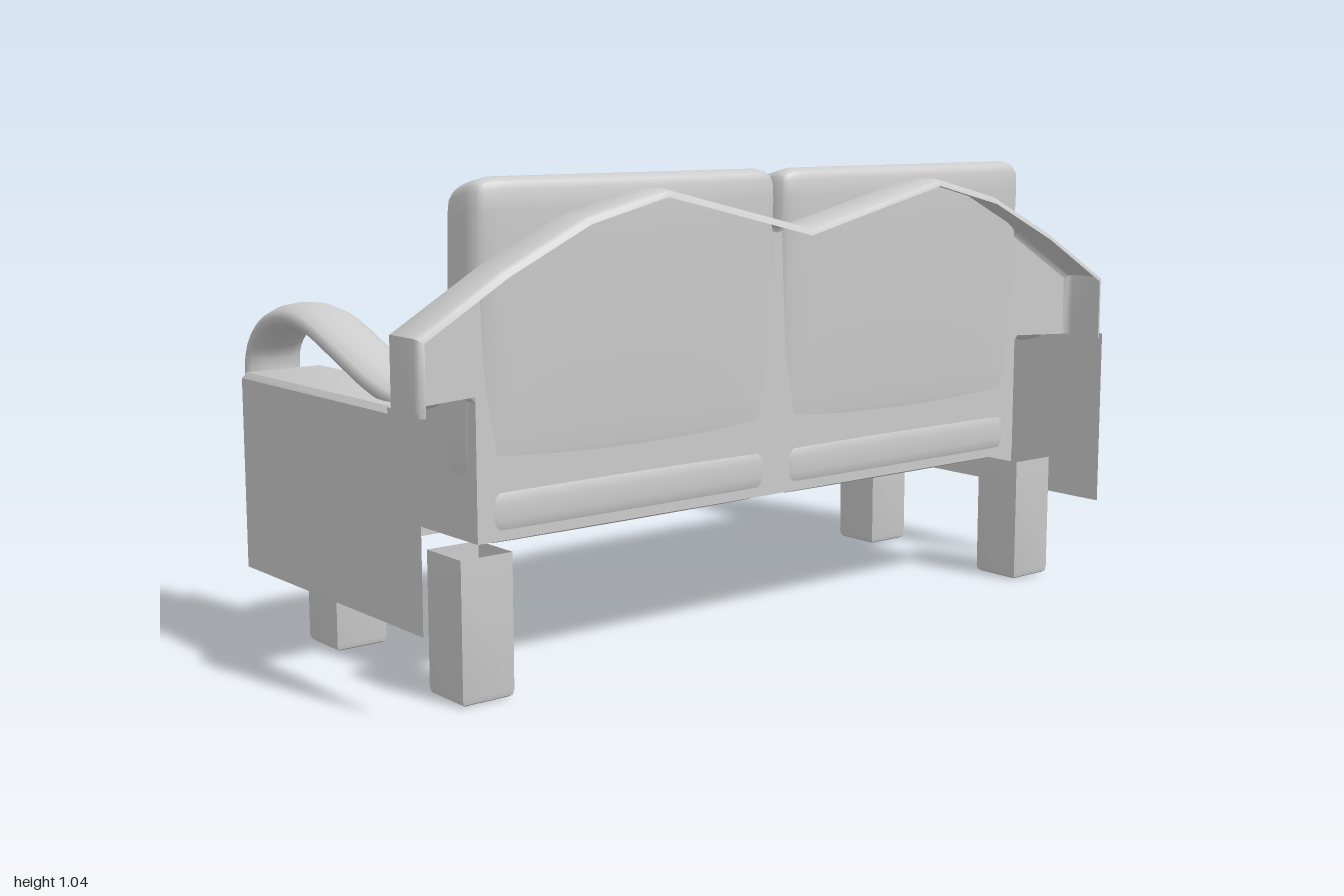
import * as THREE from 'three';
import { mergeVertices, toCreasedNormals } from 'three/addons/utils/BufferGeometryUtils.js';

const material = new THREE.MeshStandardMaterial({ color: 0xcccccc, side: THREE.DoubleSide });

function add(parent, name, geometry) {
  const mesh = new THREE.Mesh(geometry, material);
  mesh.name = name;
  parent.add(mesh);
  return mesh;
}

// Complete a right-to-left half path with its mirror image
const mirrorPath = (half) => [
  ...half,
  ...half.slice().reverse().filter(([x]) => x !== 0).map(([x, y]) => [-x, y]),
];

// Move an open path sideways, to the left of its direction
function inset(path, amount) {
  return path.map(([x, y], i) => {
    const normal = (a, b) => new THREE.Vector2(a[1] - b[1], b[0] - a[0]).normalize();
    const before = i > 0 ? normal(path[i - 1], path[i]) : normal(path[0], path[1]);
    const after = i < path.length - 1 ? normal(path[i], path[i + 1]) : before;
    const k = amount / (1 + before.dot(after));
    return [x + (before.x + after.x) * k, y + (before.y + after.y) * k];
  });
}

// Open skin swept along z; each step is [z, inset]
function sweep(path, steps) {
  const positions = [], index = [], n = path.length;
  for (const [z, amount] of steps) {
    for (const [x, y] of inset(path, amount)) positions.push(x, y, z);
  }
  for (let s = 0; s < steps.length - 1; s++) {
    for (let i = 0; i < n - 1; i++) {
      const a = s * n + i, b = a + n;
      index.push(a, b, a + 1, a + 1, b, b + 1);
    }
  }
  const g = new THREE.BufferGeometry();
  g.setAttribute('position', new THREE.Float32BufferAttribute(positions, 3));
  g.setIndex(index);
  return toCreasedNormals(g, 0.7);
}

const flatFace = (points, z) =>
  new THREE.ShapeGeometry(new THREE.Shape(points.map(([x, y]) => new THREE.Vector2(x, y)))).translate(0, 0, z);

// Soft rounded block; shape(p) may then bend each point
function cushion(w, h, d, r, shape) {
  const g = new THREE.BoxGeometry(2, 2, 2, 18, 14, 14);
  g.deleteAttribute('uv');
  g.deleteAttribute('normal');
  const half = new THREE.Vector3(w / 2, h / 2, d / 2);
  const core = half.clone().subScalar(r);
  const pos = g.attributes.position, p = new THREE.Vector3(), c = new THREE.Vector3();
  for (let i = 0; i < pos.count; i++) {
    p.fromBufferAttribute(pos, i);
    // crowd the points towards the edges
    for (const k of ['x', 'y', 'z']) p[k] = Math.sin(p[k] * Math.PI / 2) * half[k];
    c.copy(p).clamp(core.clone().negate(), core);
    p.sub(c).setLength(r).add(c);
    shape(p);
    pos.setXYZ(i, p.x, p.y, p.z);
  }
  const merged = mergeVertices(g);
  merged.computeVertexNormals();
  return merged;
}

// Flattened, bowed armrest with closed tapering ends
function armrest() {
  const path = [[0.285, 0.612], [0.22, 0.615], [0.127, 0.638], [0, 0.686], [-0.12, 0.728], [-0.22, 0.737],
    [-0.31, 0.71], [-0.37, 0.65], [-0.373, 0.565], [-0.335, 0.49], [-0.3, 0.455]];
  const curve = new THREE.CatmullRomCurve3(path.map(([z, y]) => new THREE.Vector3(0, y, z)));
  const rings = 40, sides = 12;
  const g = new THREE.TubeGeometry(curve, rings, 0.029, sides);
  const pos = g.attributes.position, p = new THREE.Vector3();
  for (let i = 0; i < pos.count; i++) {
    const u = Math.floor(i / (sides + 1)) / rings;
    const t = Math.min(1, u / 0.08, (1 - u) / 0.06);
    const center = curve.getPointAt(u);
    p.fromBufferAttribute(pos, i).sub(center).multiplyScalar(Math.sqrt(t * (2 - t)));
    p.x *= 2.3;
    p.add(center);
    pos.setXYZ(i, p.x, p.y, p.z);
  }
  g.computeVertexNormals();
  return g;
}

export function createModel() {
  const sofa = new THREE.Group();
  sofa.name = 'sofa';

  // Arms, seat deck and front rail: one skin, open behind and below
  const frame = new THREE.Group();
  frame.name = 'frame';
  sofa.add(frame);
  const body = mirrorPath([[1, 0.18], [1, 0.598], [0.988, 0.61], [0.812, 0.61], [0.8, 0.598], [0.8, 0.31]]);
  add(frame, 'armsAndDeck', sweep(body, [[0.29, 0], [-0.325, 0], [-0.336, 0.005], [-0.341, 0.018]]));
  add(frame, 'frontPanel', flatFace(inset(body, 0.018), -0.341));

  // Double-humped backrest, open behind
  const crest = mirrorPath([[1, 0.6], [1, 0.752], [0.8, 0.87], [0.6, 0.965], [0.4, 1.014], [0, 0.918]]);
  add(frame, 'backRim', sweep(crest, [[0.405, 0.016], [0.4, 0.005], [0.39, 0], [0.305, 0], [0.295, 0.005], [0.29, 0.016]]));
  const seatEdge = [[-0.8, 0.61], [-0.8, 0.31], [0.8, 0.31], [0.8, 0.61]];
  add(frame, 'backPanel', flatFace([...inset(crest, 0.016), ...seatEdge], 0.29));

  const seat = cushion(0.8, 0.15, 0.62, 0.06, (p) => {
    const crown = Math.cos(p.x / 0.4 * 1.5) * Math.cos(p.z / 0.31 * 1.5);
    p.y += Math.sign(p.y) * (p.y > 0 ? 0.025 : 0.006) * crown;
  });
  const back = cushion(0.805, 0.62, 0.135, 0.05, (p) => {
    // top slopes down to the front, faces puff slightly
    if (p.y > 0) p.y += p.z * 0.3 * (p.y / 0.31) ** 2;
    p.z += Math.sign(p.z) * 0.006 * Math.cos(p.x / 0.41 * 1.5) * Math.cos(p.y / 0.34 * 1.5);
  });
  const rest = armrest();

  // Square leg with softened foot, open at the top
  const leg = toCreasedNormals(new THREE.LatheGeometry(
    [[0, 0], [0.86, 0], [0.96, 0.004], [1, 0.015], [1, 0.3]].map(([x, y]) => new THREE.Vector2(x, y)), 4,
  ).rotateY(Math.PI / 4).scale(0.061 * Math.SQRT2, 1, 0.0625 * Math.SQRT2), 0.7);

  for (const [side, s] of [['left', 1], ['right', -1]]) {
    const backSide = add(frame, side + 'BackSide', new THREE.PlaneGeometry(0.115, 0.43));
    backSide.rotation.y = s * Math.PI / 2;
    backSide.position.set(s, 0.395, 0.3475);

    add(sofa, side + 'SeatCushion', seat).position.set(s * 0.4, 0.37, -0.015);
    const backCushion = add(sofa, side + 'BackCushion', back);
    backCushion.position.set(s * 0.402, 0.728, 0.23);
    backCushion.rotation.x = 0.035;
    add(sofa, side + 'Armrest', rest).position.x = s * 0.9;

    add(sofa, side + 'FrontLeg', leg).position.set(s * 0.816, 0, -0.222);
    add(sofa, side + 'BackLeg', leg).position.set(s * 0.816, 0, 0.284);
  }
  return sofa;
}
